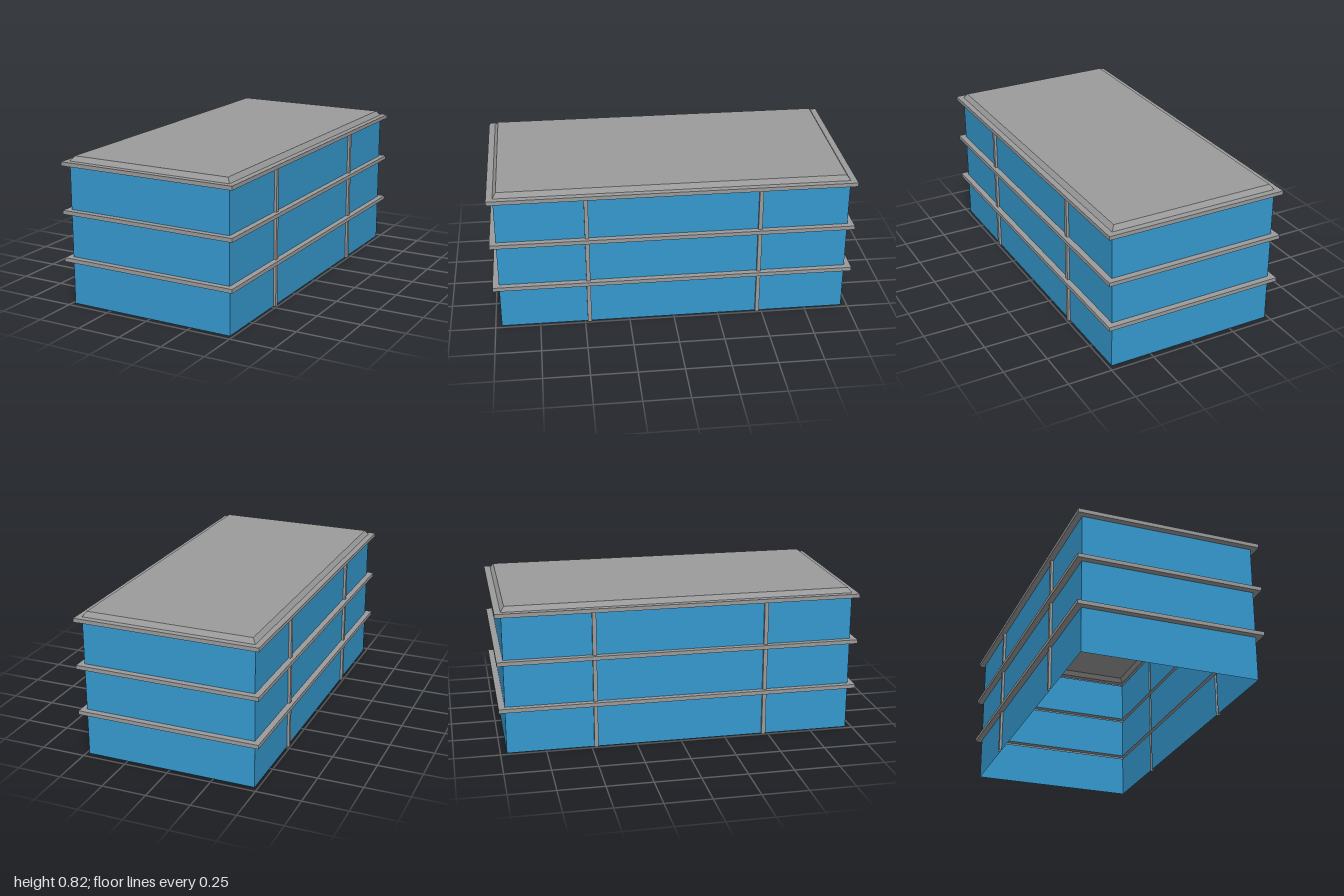
import * as THREE from 'three';

const WALL_X = 0.482, WALL_Z = 0.965;   // half size of the glazed box
const LEDGE_X = 0.515, LEDGE_Z = 1.0;   // half size of the ledges
const POST_X = 0.496, POST_Z = 0.475, POST_W = 0.022;
const LEDGE_H = 0.022;
const LEDGES = [0.245, 0.51, 0.775];    // underside of each ledge

// Flat-sided shell through rectangular rings [halfX, halfZ, y], outside facing out
function ringShell(rings) {
  const corners = [[1, 1], [1, -1], [-1, -1], [-1, 1]];
  const point = ([hx, hz, y], i) => [corners[i % 4][0] * hx, y, corners[i % 4][1] * hz];
  const pos = [];
  for (let r = 0; r < rings.length - 1; r++) {
    for (let i = 0; i < 4; i++) {
      const a = point(rings[r], i), b = point(rings[r], i + 1);
      const c = point(rings[r + 1], i + 1), d = point(rings[r + 1], i);
      pos.push(...a, ...b, ...c, ...a, ...c, ...d);
    }
  }
  const geo = new THREE.BufferGeometry();
  geo.setAttribute('position', new THREE.Float32BufferAttribute(pos, 3));
  geo.computeVertexNormals();
  return geo;
}

export function createModel() {
  const group = new THREE.Group();
  group.name = 'building';
  const glass = new THREE.MeshStandardMaterial({ color: 0x3598ce, side: THREE.DoubleSide });
  glass.name = 'blue glass';
  const concrete = new THREE.MeshStandardMaterial({ color: 0x9b9b9b, side: THREE.DoubleSide });
  concrete.name = 'grey concrete';

  const add = (name, geo, mat, parent = group) => {
    const mesh = new THREE.Mesh(geo, mat);
    mesh.name = name;
    parent.add(mesh);
    return mesh;
  };
  // Upright plate, turned about y so that it faces the given way
  const plate = (name, mat, w, h, x, y, z, turn, parent) => {
    const mesh = add(name, new THREE.PlaneGeometry(w, h), mat, parent);
    mesh.position.set(x, y, z);
    mesh.rotation.y = turn;
  };

  // Side wall bays between the posts: [centre z, width]
  const inner = POST_Z - POST_W / 2, outer = POST_Z + POST_W / 2;
  const endBay = WALL_Z - outer;
  const bays = [[0, inner * 2], [outer + endBay / 2, endBay], [-outer - endBay / 2, endBay]];

  LEDGES.forEach((top, level) => {
    const base = level ? LEDGES[level - 1] + LEDGE_H : 0;
    const h = top - base, y = (top + base) / 2;
    const storey = new THREE.Group();
    storey.name = 'storey' + (level + 1);
    group.add(storey);

    // End walls
    plate('frontWall', glass, WALL_X * 2, h, 0, y, WALL_Z, 0, storey);
    plate('backWall', glass, WALL_X * 2, h, 0, y, -WALL_Z, Math.PI, storey);

    for (const s of [1, -1]) {
      // Side walls
      for (const [z, w] of bays) {
        plate('sideWall', glass, w, h, s * WALL_X, y, z, s * Math.PI / 2, storey);
      }
      // Hollow posts: outer face and two cheeks
      for (const t of [1, -1]) {
        const post = new THREE.Group();
        post.name = 'post';
        storey.add(post);
        const depth = POST_X - WALL_X, mid = s * (WALL_X + POST_X) / 2;
        plate('postFace', concrete, POST_W, h, s * POST_X, y, t * POST_Z, s * Math.PI / 2, post);
        plate('postCheek', concrete, depth, h, mid, y, t * POST_Z + POST_W / 2, 0, post);
        plate('postCheek', concrete, depth, h, mid, y, t * POST_Z - POST_W / 2, Math.PI, post);
      }
    }

    // Hollow ledge running all round above the storey
    add('ledge', ringShell([
      [WALL_X, WALL_Z, top], [LEDGE_X, LEDGE_Z, top],
      [LEDGE_X, LEDGE_Z, top + LEDGE_H], [WALL_X, WALL_Z, top + LEDGE_H],
    ]), concrete, storey);
  });

  // Roof: sloped rim and flat top
  const eaves = LEDGES[2] + LEDGE_H, ridge = 0.824;
  add('roofRim', ringShell([[WALL_X, WALL_Z, eaves], [0.463, 0.946, ridge]]), concrete);
  const roof = add('roofTop', new THREE.PlaneGeometry(0.926, 1.892), concrete);
  roof.rotation.x = -Math.PI / 2;
  roof.position.y = ridge;

  return group;
}
